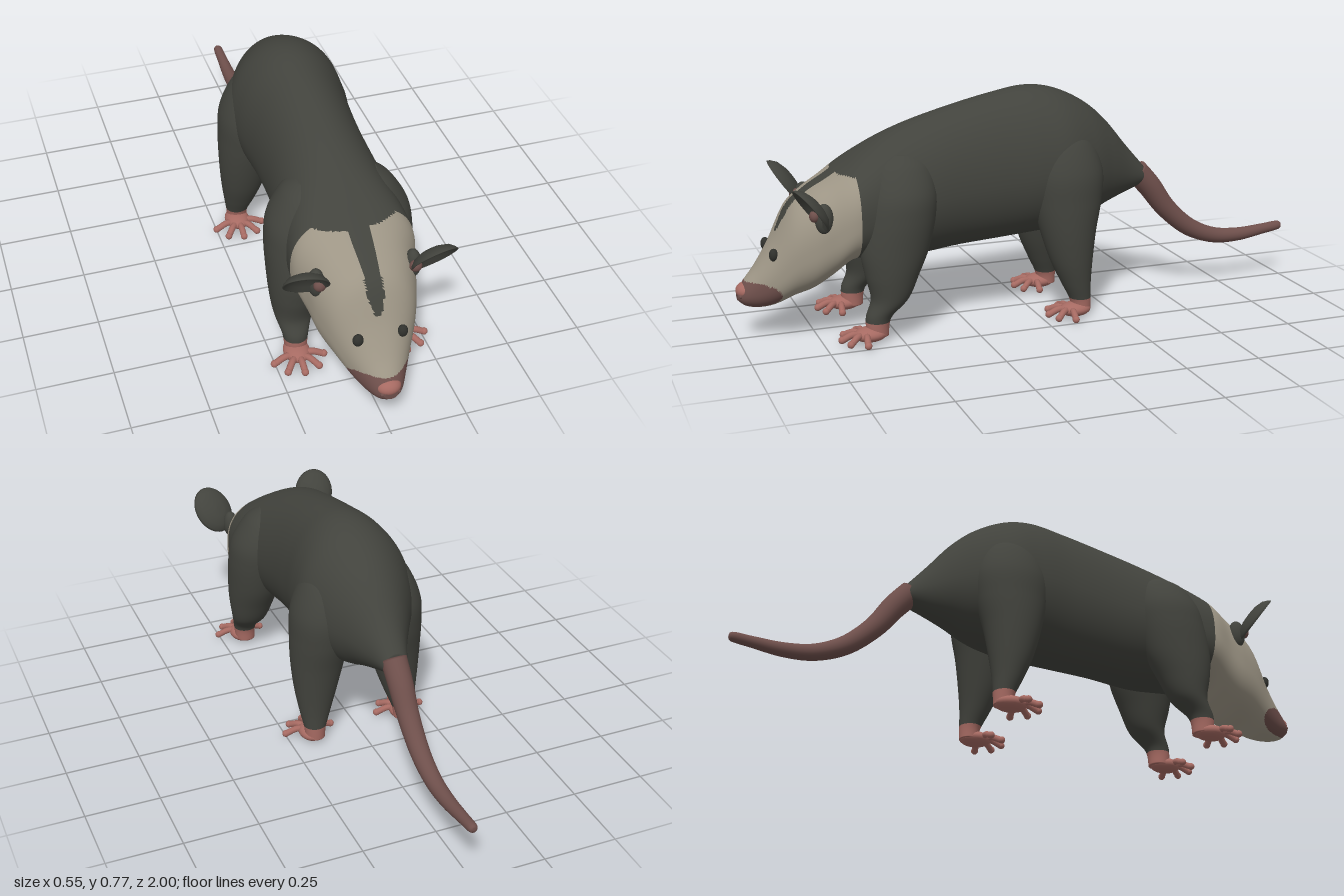
import * as THREE from 'three';

const mat = (name, color) => {
  const m = new THREE.MeshStandardMaterial({ color });
  m.name = name;
  return m;
};

// Smooth Catmull-Rom sampling of every column of a section table
function sample(table, t) {
  const last = table.length - 1;
  const f = Math.min(t * last, last - 1e-6), i = Math.floor(f), u = f - i;
  const row = (k) => table[Math.max(0, Math.min(last, k))];
  const [a, b, c, d] = [row(i - 1), row(i), row(i + 1), row(i + 2)];
  return b.map((v, k) => v + 0.5 * u * (c[k] - a[k] + u * (2 * a[k] - 5 * v + 4 * c[k] - d[k]
    + u * (3 * (v - c[k]) + d[k] - a[k]))));
}

// Closed skin through rings; point(t, angle) gives [x, y, z], paint(x, y, z) a material index
function loft(name, rows, segs, point, materials, paint = () => 0) {
  const pos = [], rings = [];
  for (let i = 0; i <= rows; i++) {
    const ring = [];
    for (let j = 0; j < segs; j++) ring.push(point(i / rows, (j / segs) * Math.PI * 2));
    rings.push(ring);
  }
  const centre = (ring) => [0, 1, 2].map((k) => ring.reduce((s, p) => s + p[k], 0) / segs);
  for (const ring of rings) for (const p of ring) pos.push(...p);
  const first = pos.length / 3;
  pos.push(...centre(rings[0]), ...centre(rings[rows]));

  const tris = [];
  for (let j = 0; j < segs; j++) {
    const k = (j + 1) % segs;
    for (let i = 0; i < rows; i++) {
      const a = i * segs + j, b = i * segs + k;
      tris.push([a, b, a + segs], [b, b + segs, a + segs]);
    }
    tris.push([first, k, j], [first + 1, rows * segs + j, rows * segs + k]);
  }
  // Turn all faces outward using the enclosed volume
  const at = (i) => new THREE.Vector3().fromArray(pos, i * 3);
  const volume = tris.reduce((s, [a, b, c]) => s + at(a).dot(at(b).cross(at(c))), 0);
  const buckets = materials.map(() => []);
  for (const [a, b, c] of tris) {
    const m = at(a).add(at(b)).add(at(c)).divideScalar(3);
    buckets[paint(m.x, m.y, m.z)].push(...(volume > 0 ? [a, b, c] : [a, c, b]));
  }
  const geo = new THREE.BufferGeometry();
  geo.setAttribute('position', new THREE.Float32BufferAttribute(pos, 3));
  geo.setIndex(buckets.flat());
  let start = 0;
  buckets.forEach((b, i) => { geo.addGroup(start, b.length, i); start += b.length; });
  geo.computeVertexNormals();
  const mesh = new THREE.Mesh(geo, materials);
  mesh.name = name;
  return mesh;
}

export function createModel() {
  const model = new THREE.Group();
  model.name = 'opossum';
  const fur = mat('dark fur', 0x42433d);
  const cream = mat('cream face', 0x9d9585);
  const pink = mat('pink skin', 0xa66a62);
  const brown = mat('brownish skin', 0x6e4f4b);
  const eyeMat = mat('eye black', 0x30312d);

  const ball = (parent, name, material, p, r) => {
    const m = new THREE.Mesh(new THREE.SphereGeometry(1, 24, 16), material);
    m.name = name;
    m.position.set(...p);
    m.scale.set(...r);
    parent.add(m);
    return m;
  };

  // Torso and head: z, top, bottom, half width, roundness exponent
  const body = [
    [-0.43, 0.47, 0.40, 0.04, 2], [-0.36, 0.55, 0.375, 0.07, 2], [-0.28, 0.645, 0.345, 0.115, 2],
    [-0.2, 0.712, 0.31, 0.16, 2], [-0.1, 0.76, 0.28, 0.195, 2], [0, 0.775, 0.27, 0.19, 2],
    [0.12, 0.757, 0.26, 0.175, 2], [0.26, 0.725, 0.25, 0.17, 2], [0.4, 0.685, 0.235, 0.18, 2],
    [0.5, 0.645, 0.24, 0.19, 2.1], [0.58, 0.6, 0.25, 0.2, 2.3], [0.64, 0.56, 0.25, 0.2, 2.5],
    [0.7, 0.522, 0.205, 0.178, 2.6], [0.76, 0.487, 0.165, 0.163, 2.5], [0.82, 0.437, 0.142, 0.138, 2.4],
    [0.88, 0.325, 0.115, 0.1, 2.3], [0.93, 0.248, 0.108, 0.07, 2.2], [0.97, 0.2, 0.115, 0.046, 2],
    [0.995, 0.165, 0.135, 0.02, 2],
  ];
  const power = (v, n) => Math.sign(v) * Math.abs(v) ** (2 / n);
  const bodyPoint = (t, a) => {
    const [z, top, bottom, w, n] = sample(body, t);
    const mid = bottom + 0.45 * (top - bottom), s = Math.sin(a);
    return [w * power(Math.cos(a), n), mid + (s > 0 ? top - mid : mid - bottom) * power(s, n), z];
  };
  // Pale face mask, forehead stripe and muzzle patch
  const facePaint = (x, y, z) => {
    if (((z - 0.945) / 0.08) ** 2 + ((y - 0.158) / 0.043) ** 2 < 1) return 2;
    if (z < 0.625 || y > 0.54) return 0;
    const stripe = 0.027 + Math.max(0, y - 0.5) * 0.3 - Math.max(0, 0.41 - y) * 0.3;
    return y > 0.355 && Math.abs(x) < stripe ? 0 : 1;
  };
  model.add(loft('bodyAndHead', 198, 112, bodyPoint, [fur, cream, brown], facePaint));

  // Tail: y, z, radius
  const tail = [
    [0.445, -0.41, 0.043], [0.385, -0.465, 0.041], [0.3, -0.53, 0.036], [0.222, -0.62, 0.032],
    [0.18, -0.72, 0.028], [0.172, -0.82, 0.024], [0.182, -0.92, 0.019], [0.19, -0.985, 0.016],
    [0.191, -0.998, 0.006],
  ];
  model.add(loft('tail', 64, 24, (t, a) => {
    const [y, z, r] = sample(tail, t);
    const p = sample(tail, Math.max(0, t - 0.01)), q = sample(tail, Math.min(1, t + 0.01));
    const dy = q[0] - p[0], dz = q[1] - p[1], l = Math.hypot(dy, dz);
    const s = r * Math.sin(a);
    return [r * Math.cos(a), y - (s * dz) / l, z + (s * dy) / l];
  }, [brown]));

  // Nose
  ball(model, 'nose', pink, [0, 0.165, 0.965], [0.04, 0.028, 0.034]);

  // Legs: y, centre x, centre z, radius x, radius z
  const frontLeg = [
    [0.6, 0.1, 0.46, 0.03, 0.04], [0.56, 0.11, 0.465, 0.07, 0.09], [0.48, 0.132, 0.475, 0.096, 0.115],
    [0.4, 0.14, 0.487, 0.101, 0.12], [0.3, 0.146, 0.505, 0.095, 0.113], [0.22, 0.155, 0.518, 0.082, 0.09],
    [0.14, 0.163, 0.53, 0.063, 0.062], [0.08, 0.168, 0.57, 0.042, 0.042], [0.02, 0.168, 0.575, 0.036, 0.036],
  ];
  const hindLeg = [
    [0.66, 0.08, -0.09, 0.04, 0.05], [0.6, 0.1, -0.095, 0.08, 0.1], [0.5, 0.122, -0.1, 0.1, 0.125],
    [0.4, 0.13, -0.1, 0.1, 0.118], [0.3, 0.14, -0.1, 0.09, 0.096], [0.2, 0.15, -0.108, 0.073, 0.073],
    [0.12, 0.158, -0.122, 0.054, 0.051], [0.06, 0.164, -0.136, 0.038, 0.036], [0.02, 0.165, -0.138, 0.034, 0.033],
  ];
  const addLeg = (name, table, side) => model.add(loft(name, 80, 40, (t, a) => {
    const [y, x, z, rx, rz] = sample(table, t);
    return [side * (x + rx * Math.cos(a)), y, z + rz * Math.sin(a)];
  }, [fur, pink], (x, y) => (y < 0.066 ? 1 : 0)));

  // Foot with five splayed toes
  const addFoot = (name, x, z, side) => {
    const foot = new THREE.Group();
    foot.name = name;
    foot.position.set(side * x, 0, z);
    ball(foot, 'palm', pink, [0, 0.027, 0.015], [0.043, 0.025, 0.055]);
    [-80, -38, 0, 38, 80].forEach((deg) => {
      const a = THREE.MathUtils.degToRad(deg), reach = 0.084;
      const at = (d, y) => new THREE.Vector3(Math.sin(a) * d, y, 0.03 + Math.cos(a) * d * 0.95);
      const curve = new THREE.CatmullRomCurve3([at(0.01, 0.025), at(0.045, 0.031), at(reach, 0.016)]);
      const toe = new THREE.Mesh(new THREE.TubeGeometry(curve, 10, 0.011, 10), pink);
      toe.name = 'toe';
      foot.add(toe);
      ball(foot, 'toeTip', pink, at(reach, 0.017).toArray(), [0.012, 0.012, 0.012]);
    });
    model.add(foot);
  };

  // Ear: shallow cup leaning forward
  const cup = [[0, -0.02], [0.03, -0.018], [0.056, -0.009], [0.071, 0.006], [0.075, 0.014],
    [0.07, 0.015], [0.055, 0.004], [0.03, -0.005], [0, -0.009]].map((p) => new THREE.Vector2(...p));
  const up = new THREE.Vector3(0, 1, 0);

  for (const side of [1, -1]) {
    const label = side > 0 ? 'left' : 'right';
    addLeg(`${label}FrontLeg`, frontLeg, side);
    addLeg(`${label}HindLeg`, hindLeg, side);
    addFoot(`${label}FrontFoot`, 0.173, 0.585, side);
    addFoot(`${label}HindFoot`, 0.17, -0.13, side);

    const earShape = new THREE.LatheGeometry(cup, 40);
    earShape.scale(0.95, 1, 1.18);
    const ear = new THREE.Mesh(earShape, fur);
    ear.name = `${label}Ear`;
    ear.position.set(side * 0.201, 0.472, 0.778);
    ear.quaternion.setFromUnitVectors(up, new THREE.Vector3(side * 0.15, -0.6, 0.79).normalize());
    model.add(ear);
    ball(model, `${label}EarBase`, fur, [side * 0.155, 0.42, 0.735], [0.026, 0.05, 0.03]);
    ball(model, `${label}EarInnerSkin`, brown, [side * 0.153, 0.432, 0.765], [0.02, 0.02, 0.017]);

    ball(model, `${label}Eye`, eyeMat, [side * 0.071, 0.294, 0.884], [0.017, 0.021, 0.015]);
    ball(model, `${label}Nostril`, brown, [side * 0.025, 0.152, 0.987], [0.008, 0.007, 0.006]);
  }
  return model;
}
